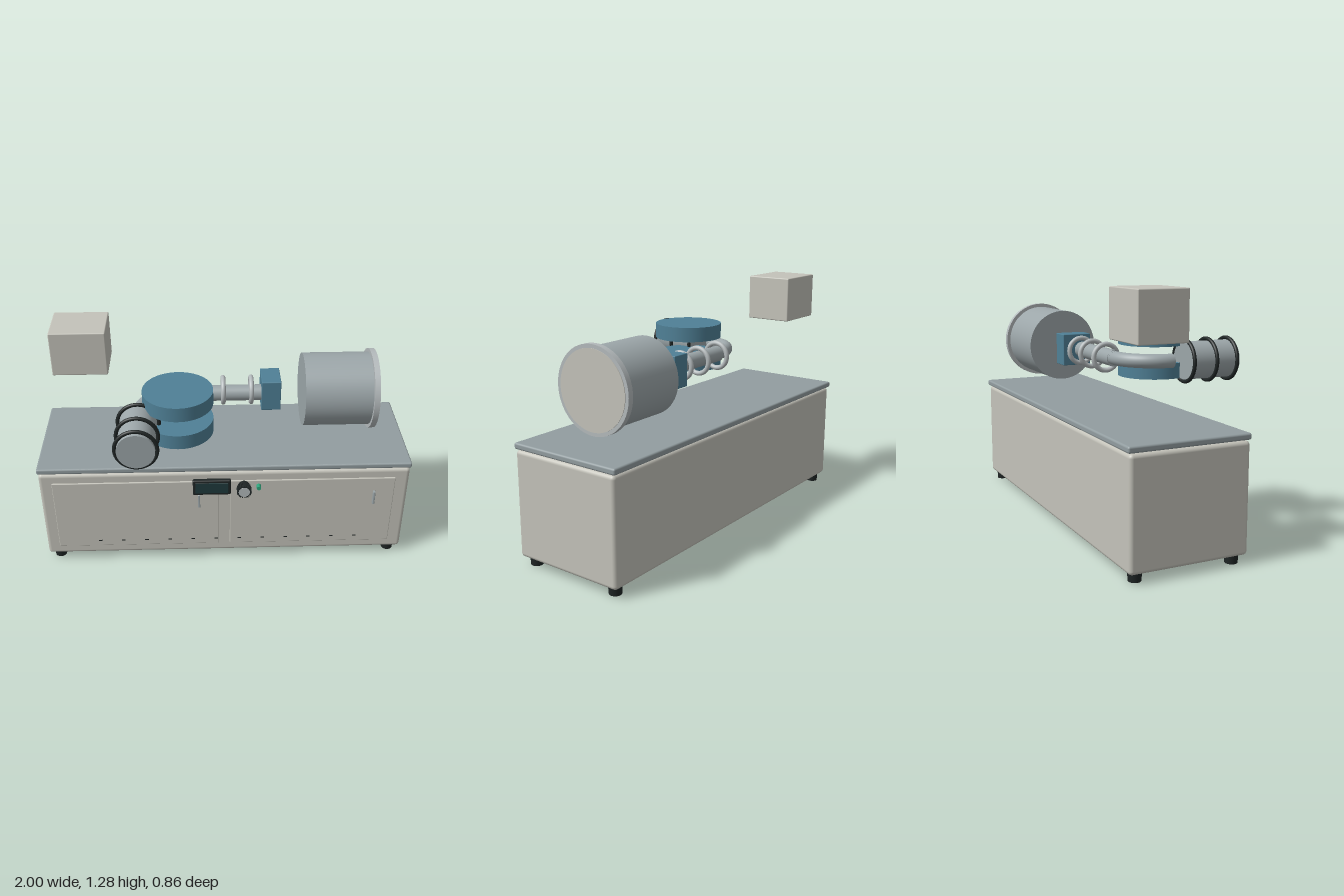
import * as THREE from 'three';
import { RoundedBoxGeometry } from 'three/addons/geometries/RoundedBoxGeometry.js';

const material = (color) => new THREE.MeshStandardMaterial({ color });
const enamel = material(0xc4c3ba);
const steel = material(0x9ca6a9);
const worktopSteel = material(0x929da0);
const paleSteel = material(0xb4babc);
const blue = material(0x4f8096);
const black = material(0x1f2525);
const screen = material(0x1f3a3c);
const green = material(0x2fa57c);

export function createModel() {
  const model = new THREE.Group();

  function add(name, geometry, mat, x, y, z, parent = model) {
    const mesh = new THREE.Mesh(geometry, mat);
    mesh.name = name;
    mesh.position.set(x, y, z);
    parent.add(mesh);
    return mesh;
  }
  // Box given by its extents on each axis
  function box(name, mat, [x0, x1], [y0, y1], [z0, z1], r = 0.004) {
    const g = new RoundedBoxGeometry(x1 - x0, y1 - y0, z1 - z0, 3, r);
    return add(name, g, mat, (x0 + x1) / 2, (y0 + y1) / 2, (z0 + z1) / 2);
  }
  // Cylinder lying along x or z, or standing along y
  function cylinder(name, mat, axis, r, length, x, y, z, segments = 48) {
    const g = new THREE.CylinderGeometry(r, r, length, segments);
    if (axis === 'x') g.rotateZ(-Math.PI / 2);
    if (axis === 'z') g.rotateX(Math.PI / 2);
    return add(name, g, mat, x, y, z);
  }

  // Cabinet, worktop and feet
  box('cabinet', enamel, [-0.995, 0.995], [0.045, 0.591], [-0.417, 0.198], 0.02);
  box('worktop', worktopSteel, [-1, 1], [0.596, 0.628], [-0.427, 0.2], 0.01);
  for (const x of [-0.937, 0.937]) {
    for (const z of [0.143, -0.364]) {
      add('foot', new THREE.CylinderGeometry(0.034, 0.031, 0.048, 32), black, x, 0.024, z);
    }
  }

  // Doors with pull handles
  box('rightDoor', enamel, [-0.927, -0.034], [0.103, 0.537], [0.188, 0.206]);
  box('leftDoor', enamel, [0.026, 0.919], [0.103, 0.537], [0.188, 0.206]);
  for (const x of [-0.142, 0.81]) {
    box('doorHandle', steel, [x - 0.006, x + 0.006], [0.372, 0.455], [0.2, 0.223], 0.003);
  }

  // Row of vent slots along the bottom of the doors
  for (let i = 0; i < 12; i++) {
    const x = -0.697 + i * 0.1293;
    box('ventSlot', black, [x - 0.01, x + 0.01], [0.138, 0.144], [0.202, 0.209], 0.001);
  }

  // Control display, fluted knob and indicator lamp
  box('displayHousing', black, [-0.174, 0.03], [0.457, 0.552], [0.195, 0.222], 0.008);
  box('displayScreen', screen, [-0.16, 0.016], [0.471, 0.538], [0.215, 0.225], 0.003);
  cylinder('knobBase', black, 'z', 0.032, 0.04, 0.1, 0.505, 0.21);
  cylinder('knobCore', black, 'z', 0.034, 0.035, 0.1, 0.505, 0.246);
  cylinder('knobCap', paleSteel, 'z', 0.03, 0.006, 0.1, 0.505, 0.263);
  const flutes = new THREE.Group();
  flutes.name = 'knobFlutes';
  flutes.position.set(0.1, 0.505, 0.245);
  model.add(flutes);
  for (let i = 0; i < 24; i++) {
    const a = (i / 24) * Math.PI * 2;
    const flute = add('knobFlute', new THREE.BoxGeometry(0.007, 0.004, 0.04), black,
      Math.cos(a) * 0.036, Math.sin(a) * 0.036, 0, flutes);
    flute.rotation.z = a;
  }
  cylinder('indicatorLamp', green, 'z', 0.012, 0.04, 0.18, 0.505, 0.214, 24);

  // Floating cabinet box above the bench
  box('upperBox', enamel, [-0.9, -0.608], [1.04, 1.283], [-0.334, -0.078], 0.006);

  // Large drum with end flange and pale cap
  cylinder('drum', steel, 'x', 0.198, 0.38, 0.62, 0.895, -0.144, 64);
  cylinder('drumFlange', paleSteel, 'x', 0.217, 0.03, 0.805, 0.895, -0.144, 64);
  cylinder('drumCap', enamel, 'x', 0.198, 0.006, 0.82, 0.895, -0.144, 64);

  // Beam tube, its elbow and the block that closes it
  box('endBlock', blue, [0.205, 0.31], [0.808, 0.98], [-0.23, -0.07]);
  cylinder('beamTube', steel, 'x', 0.043, 0.44, 0, 0.893, -0.12);
  const elbow = new THREE.TorusGeometry(0.215, 0.036, 24, 40, Math.PI / 2);
  elbow.rotateZ(Math.PI).rotateX(Math.PI / 2);
  add('tubeElbow', elbow, steel, -0.235, 0.897, 0.09);
  add('elbowEnd', new THREE.CircleGeometry(0.036, 24), steel, -0.45, 0.897, 0.09);
  cylinder('elbowJoint', steel, 'x', 0.036, 0.04, -0.22, 0.897, -0.125);

  // Rings around the beam tube
  for (const x of [-0.172, 0, 0.152]) {
    const ring = new THREE.TorusGeometry(0.068, 0.013, 16, 48).rotateY(Math.PI / 2);
    add('tubeRing', ring, paleSteel, x, 0.895, -0.148);
  }

  // Pair of magnet discs above and below the elbow
  for (const y of [0.839, 1.003]) {
    cylinder('magnetDisc', blue, 'y', 0.183, 0.079, -0.241, y, 0.092, 64);
  }

  // Front canister with black sealing rings
  cylinder('canister', steel, 'z', 0.096, 0.275, -0.446, 0.893, 0.292);
  for (const z of [0.16, 0.29, 0.408]) {
    add('sealRing', new THREE.TorusGeometry(0.106, 0.01, 16, 56), black, -0.446, 0.893, z);
  }

  return model;
}
